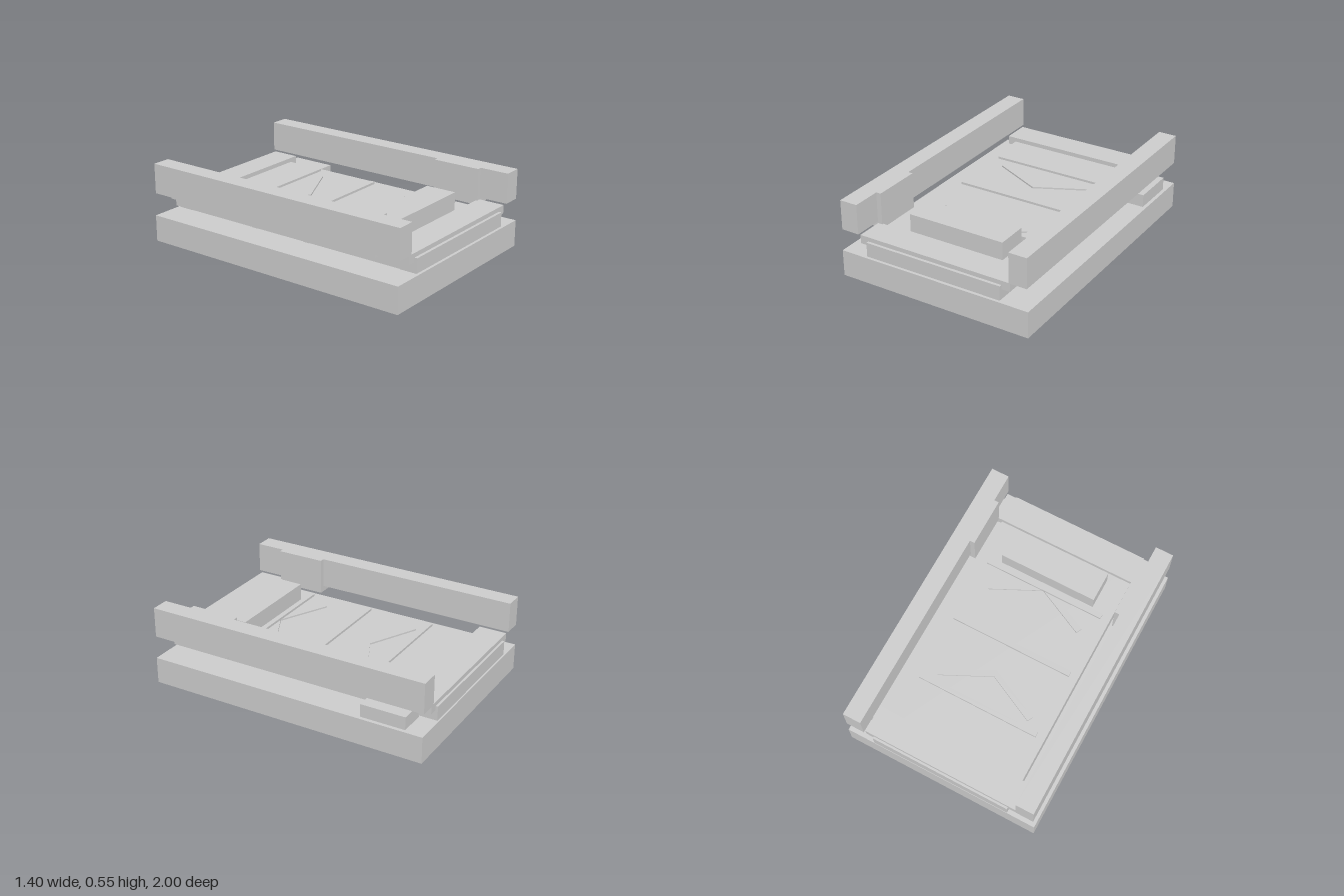
import * as THREE from 'three';

const material = new THREE.MeshStandardMaterial({ color: 0xcccccc, flatShading: true });

export function createModel() {
  const model = new THREE.Group();

  // Box given by its extents along each axis
  function box(name, [x0, x1], [y0, y1], [z0, z1]) {
    const mesh = new THREE.Mesh(new THREE.BoxGeometry(x1 - x0, y1 - y0, z1 - z0), material);
    mesh.position.set((x0 + x1) / 2, (y0 + y1) / 2, (z0 + z1) / 2);
    mesh.name = name;
    model.add(mesh);
    return mesh;
  }

  // Bar along x with a trapezoid section, wide at the bottom
  function ridge(name, z, bottom, top, y0, y1, halfLength) {
    const shape = new THREE.Shape([
      new THREE.Vector2(-bottom / 2, y0), new THREE.Vector2(bottom / 2, y0),
      new THREE.Vector2(top / 2, y1), new THREE.Vector2(-top / 2, y1),
    ]);
    const geometry = new THREE.ExtrudeGeometry(shape, { depth: halfLength * 2, bevelEnabled: false });
    geometry.translate(0, 0, -halfLength).rotateY(Math.PI / 2);
    const mesh = new THREE.Mesh(geometry, material);
    mesh.position.z = z;
    mesh.name = name;
    model.add(mesh);
  }

  // Base slab and raised platform
  box('base', [-0.7, 0.7], [0, 0.185], [-1, 1]);
  box('platform', [-0.5, 0.5], [0.2, 0.3], [-1, 1]);

  // Supports in the gap under the platform
  for (const s of [-1, 1]) ridge('endSupport', s * 0.92, 0.12, 0.1, 0.185, 0.2, 0.475);
  for (const z of [0.13, -0.3]) ridge('smallRidge', z, 0.06, 0.02, 0.185, 0.195, 0.475);

  // Cross bars over both ends
  box('frontCrossBar', [-0.56, 0.56], [0.27, 0.33], [0.785, 0.98]);
  box('backCrossBar', [-0.56, 0.56], [0.27, 0.33], [-0.985, -0.79]);

  // Side rails with their inner pads
  for (const s of [-1, 1]) {
    const span = (a, b) => (s > 0 ? [a, b] : [-b, -a]);
    box('sideRail', span(0.562, 0.69), [0.342, 0.552], [-1, 1]);
    box('railPad', span(0.528, 0.65), [0.3, 0.552], [0.45, 0.795]);
  }

  // Block on the left side and box on the platform
  box('sideBlock', [0.49, 0.675], [0.185, 0.275], [-0.87, -0.555]);
  box('raisedBox', [-0.35, 0.35], [0.3, 0.425], [0.51, 0.73]);

  // Thin rods across the platform
  for (const z of [-0.475, 0, 0.468]) {
    box('crossRod', [-0.438, 0.438], [0.312, 0.328], [z - 0.018, z + 0.018]);
  }

  // Chevron strips
  for (const z of [-0.31, 0.395]) {
    for (const s of [-1, 1]) {
      const arm = box('chevronArm', [-0.2, 0.2], [0.3, 0.311], [-0.021, 0.021]);
      arm.position.x = s * 0.17;
      arm.position.z = z;
      arm.rotation.y = s * 0.455;
    }
  }

  return model;
}
